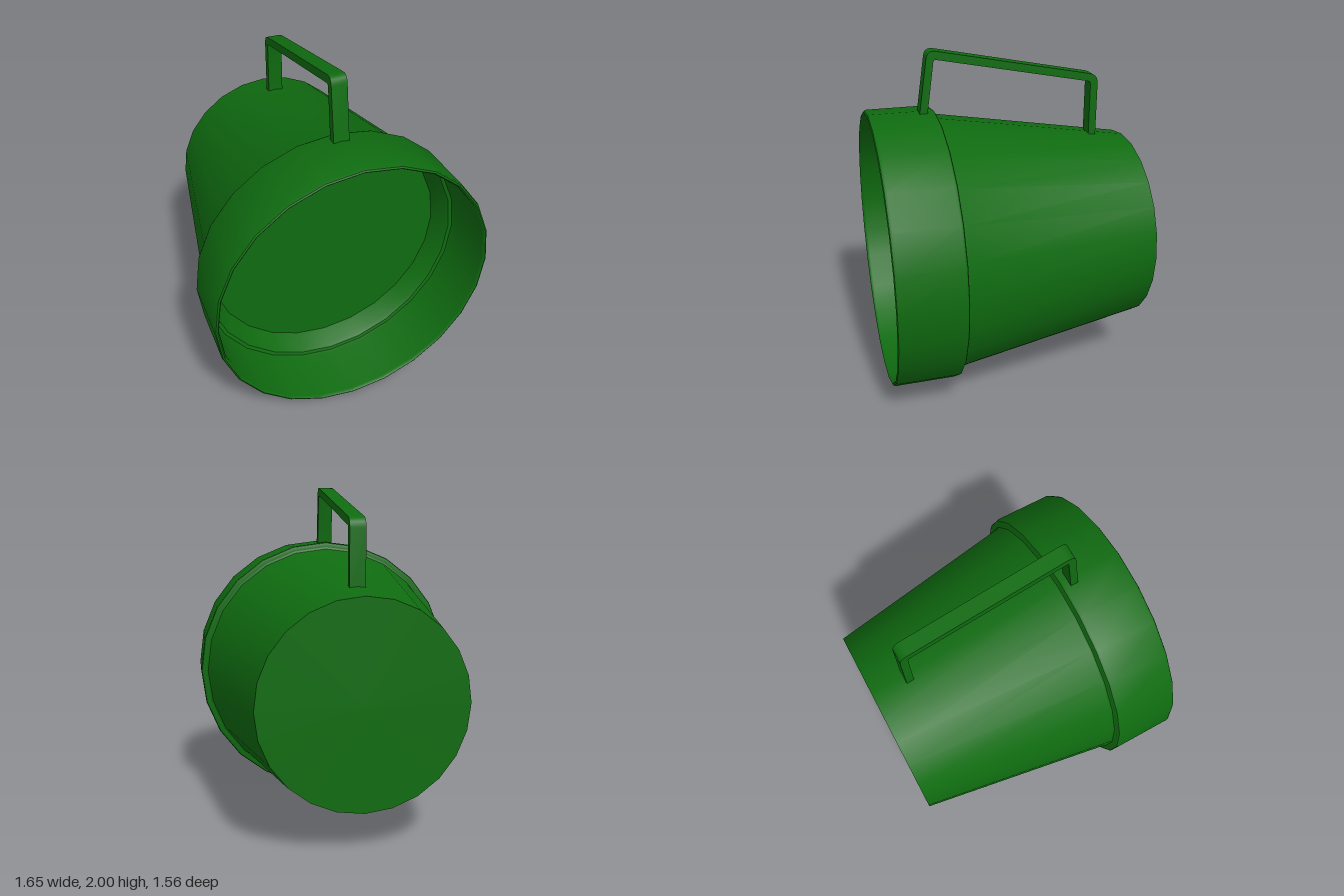
import * as THREE from 'three';
import { toCreasedNormals } from 'three/addons/utils/BufferGeometryUtils.js';

const AXIS_Y = 0.827; // height of the pail's axis
const SIDES = 24;

// Turned part lying along z; the profile is a list of [radius, z]
function turned(name, profile, material) {
  const points = profile.map(([r, z]) => new THREE.Vector2(r, z));
  const geometry = new THREE.LatheGeometry(points, SIDES).rotateX(Math.PI / 2);
  const mesh = new THREE.Mesh(toCreasedNormals(geometry, 0.6), material);
  mesh.name = name;
  mesh.position.y = AXIS_Y;
  return mesh;
}

// Bends a polyline of [x, y] points, rounding its inner corners
function roundedPath(points, radius) {
  const v = points.map(([x, y]) => new THREE.Vector2(x, y));
  const out = [v[0]];
  for (let i = 1; i < v.length - 1; i++) {
    const toward = (p) => p.clone().sub(v[i]).setLength(radius).add(v[i]);
    const bend = new THREE.QuadraticBezierCurve(toward(v[i - 1]), v[i], toward(v[i + 1]));
    out.push(...bend.getPoints(5));
  }
  out.push(v[v.length - 1]);
  return out;
}

export function createModel() {
  const group = new THREE.Group();
  group.name = 'pail';
  const green = new THREE.MeshStandardMaterial({ color: 0x0f6b10, side: THREE.DoubleSide });

  // Tapered wall with a closed back end
  group.add(turned('body', [
    [0, -0.78], [0.585, -0.78], [0.775, 0.375], [0.782, 0.388], [0.8, 0.395],
  ], green));

  // Wide collar with softened edges and a thin lip, stepping in to the inner wall
  group.add(turned('rim', [
    [0.79, 0.393], [0.812, 0.393], [0.821, 0.398], [0.826, 0.41],
    [0.826, 0.76], [0.821, 0.774], [0.812, 0.779], [0.806, 0.774],
    [0.802, 0.76], [0.8, 0.44], [0.795, 0.427], [0.775, 0.42],
    [0.762, 0.4], [0.72, 0.3],
  ], green));

  // Flat disc closing the inside
  group.add(turned('innerFloor', [[0.72, 0.3], [0, 0.3]], green));

  // Flat strap handle, drawn from the side with x running to the back
  const outer = roundedPath([[-0.491, 1.63], [-0.433, 2.007], [0.583, 1.806], [0.583, 1.42]], 0.05);
  const inner = roundedPath([[-0.445, 1.63], [-0.398, 1.952], [0.538, 1.768], [0.538, 1.42]], 0.015);
  const strap = new THREE.Shape([...outer, ...inner.reverse()]);
  const strapGeometry = new THREE.ExtrudeGeometry(strap, { depth: 0.09, bevelEnabled: false });
  strapGeometry.translate(0, 0, -0.045).rotateY(Math.PI / 2);
  const handle = new THREE.Mesh(toCreasedNormals(strapGeometry, 0.6), green);
  handle.name = 'handle';
  group.add(handle);

  return group;
}
